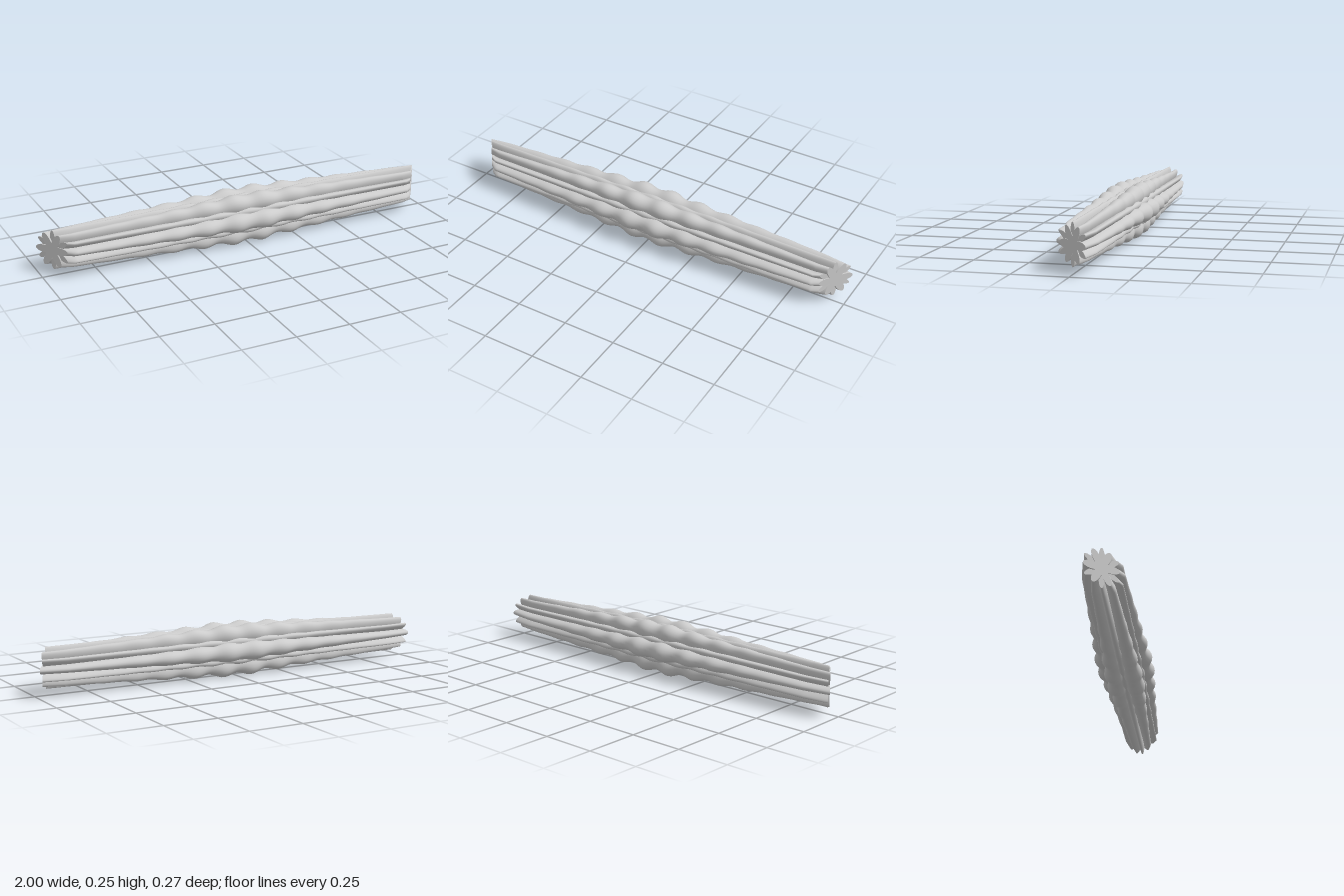
import * as THREE from 'three';

const END = 0.95;      // half length on the axis
const STRAIGHT = 0.87; // where the slanted tips begin
const RINGS = 120, SIDES = 24, AXIS_Y = 0.125;
const WAVE = (Math.PI * 2) / 0.154;

const fade = (x) => Math.exp(-((x / 0.45) ** 2)); // ripples die out towards the tips
const swell = (x) => 1 - Math.abs(x) / END;       // 1 in the middle, 0 at the tips

// Reach and half width of each kind of rib along x
const largeRib = {
  reach: (x) => 0.088 + 0.043 * swell(x) - 0.0095 * fade(x) * Math.cos(WAVE * x),
  width: (x) => 0.21 + 0.12 * swell(x),
  end: END,
};
const smallRib = {
  reach: (x) => 0.094 + 0.009 * swell(x) + 0.004 * fade(x) * Math.cos(WAVE * x),
  width: (x) => 0.15 + 0.06 * swell(x),
  end: END - 0.006,
};

function ribGeometry(kind, angle) {
  const pos = [], index = [];
  const stations = [-kind.end];
  for (let i = 0; i <= RINGS; i++) stations.push(STRAIGHT * (2 * i / RINGS - 1));
  stations.push(kind.end);

  // Petal-shaped ring from the axis outwards, slanted at the tips
  const ring = (s) => {
    const r = kind.reach(s), w = r * kind.width(s);
    const k = Math.max(0, (Math.abs(s) - STRAIGHT) / (END - STRAIGHT));
    for (let j = 0; j < SIDES; j++) {
      const a = (j / SIDES) * Math.PI * 2;
      const u = (r / 2) * (1 + Math.cos(a));
      const v = w * Math.sin(a) * (1 + 0.28 * swell(s) * Math.cos(a));
      const y = u * Math.sin(angle) + v * Math.cos(angle);
      const z = (u * Math.cos(angle) - v * Math.sin(angle)) * (1 - 0.2 * k);
      pos.push(s - Math.sign(s) * 0.72 * z * k, AXIS_Y + y, z);
    }
  };
  stations.forEach(ring);

  for (let i = 0; i < stations.length - 1; i++) {
    for (let j = 0; j < SIDES; j++) {
      const a = i * SIDES + j, b = i * SIDES + (j + 1) % SIDES;
      index.push(a, a + SIDES, b, b, a + SIDES, b + SIDES);
    }
  }

  // Flat tip faces with their own vertices
  for (const side of [-1, 1]) {
    const first = pos.length / 3;
    ring(side * kind.end);
    for (let j = 1; j < SIDES - 1; j++) {
      if (side > 0) index.push(first, first + j + 1, first + j);
      else index.push(first, first + j, first + j + 1);
    }
  }

  const g = new THREE.BufferGeometry();
  g.setAttribute('position', new THREE.Float32BufferAttribute(pos, 3));
  g.setIndex(index);
  g.computeVertexNormals();
  return g;
}

export function createModel() {
  const model = new THREE.Group();
  model.name = 'ribbedRod';
  const material = new THREE.MeshStandardMaterial({ color: 0xcccccc });

  // Six large ribs with six small ones in the valleys
  for (let i = 0; i < 12; i++) {
    const large = i % 2 === 0;
    const mesh = new THREE.Mesh(ribGeometry(large ? largeRib : smallRib, i * Math.PI / 6), material);
    mesh.name = (large ? 'largeRib' : 'smallRib') + (Math.floor(i / 2) + 1);
    model.add(mesh);
  }
  return model;
}
